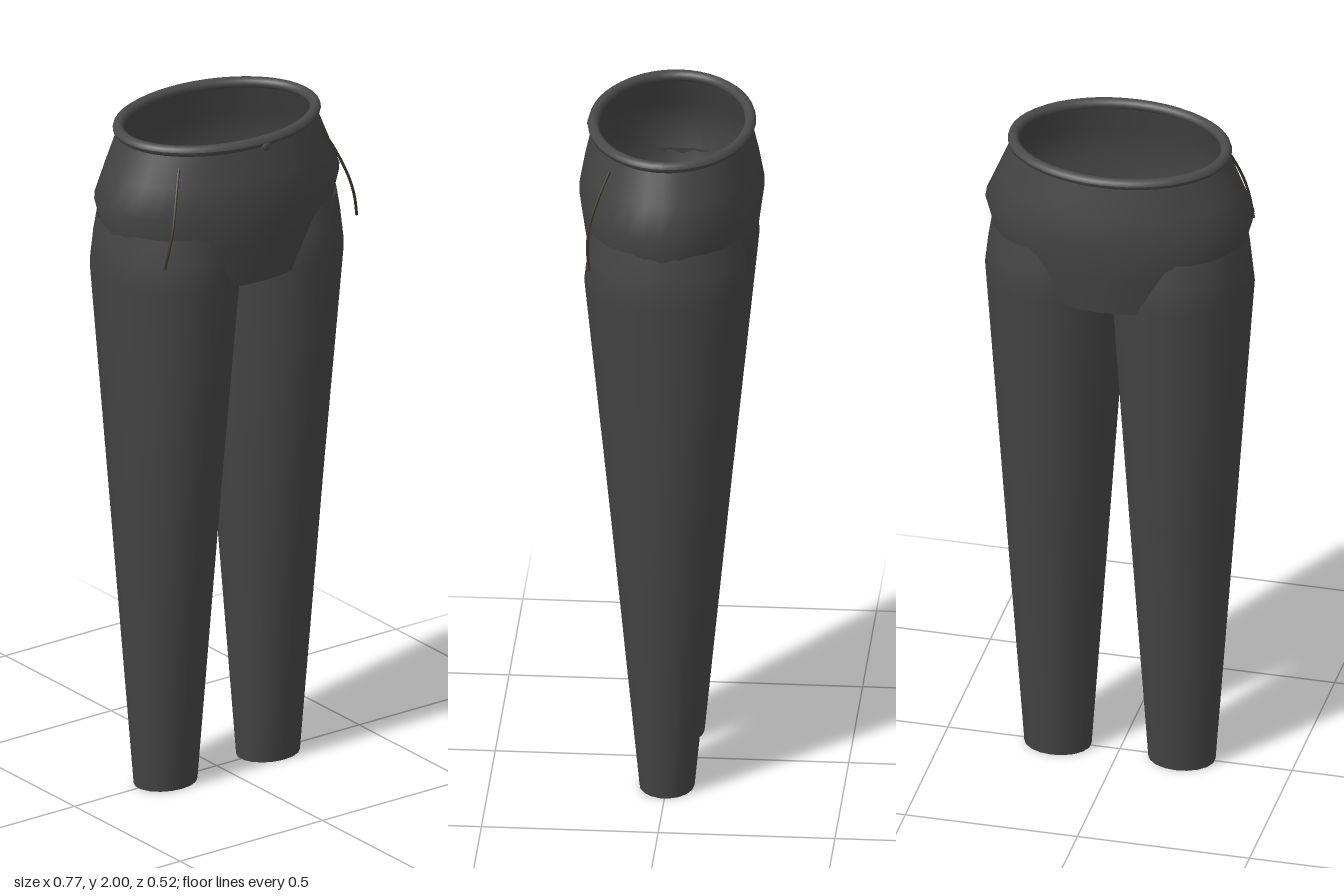
import * as THREE from 'three';

// Open tube lofted through elliptical sections [y, centreX, radiusX, radiusZ]
function loft(sections, sides) {
  const pos = [], index = [];
  for (const [y, cx, rx, rz] of sections) {
    for (let i = 0; i < sides; i++) {
      const a = (i / sides) * Math.PI * 2;
      pos.push(cx + rx * Math.sin(a), y, rz * Math.cos(a));
    }
  }
  for (let s = 0; s < sections.length - 1; s++) {
    for (let i = 0; i < sides; i++) {
      const j = (i + 1) % sides;
      const a = s * sides + i, b = s * sides + j;
      index.push(a, b, b + sides, a, b + sides, a + sides);
    }
  }
  const g = new THREE.BufferGeometry();
  g.setAttribute('position', new THREE.Float32BufferAttribute(pos, 3));
  g.setIndex(index);
  g.computeVertexNormals();
  return g;
}

export function createModel() {
  const fabric = new THREE.MeshStandardMaterial({ color: 0x444444, side: THREE.DoubleSide });
  fabric.name = 'charcoal fabric';
  const trim = new THREE.MeshStandardMaterial({ color: 0x4a4a4a });
  trim.name = 'grey trim';
  const piping = new THREE.MeshStandardMaterial({ color: 0x3a3226 });
  piping.name = 'brown piping';

  const group = new THREE.Group();
  group.name = 'trousers';
  const add = (name, geometry, material) => {
    const mesh = new THREE.Mesh(geometry, material);
    mesh.name = name;
    group.add(mesh);
    return mesh;
  };

  // Hips, open at the waist and below
  add('hips', loft([
    [1.56, 0, 0.32, 0.228],
    [1.68, 0, 0.355, 0.246],
    [1.79, 0, 0.386, 0.261],
    [1.88, 0, 0.348, 0.245],
    [1.98, 0, 0.306, 0.222],
  ], 32), fabric);

  // Waistband roll
  const band = new THREE.TorusGeometry(1, 0.016, 10, 48);
  band.rotateX(Math.PI / 2);
  const p = band.attributes.position;
  for (let i = 0; i < p.count; i++) {
    const x = p.getX(i), z = p.getZ(i), r = Math.hypot(x, z);
    const d = r - 1;
    p.setXYZ(i, (x / r) * (0.305 + d), p.getY(i) + 1.984, (z / r) * (0.221 + d));
  }
  band.computeVertexNormals();
  add('waistband', band, trim);

  // Waist button
  const button = add('button', new THREE.SphereGeometry(0.015, 14, 10), trim);
  button.position.set(0, 1.972, 0.231);
  button.scale.z = 0.6;

  for (const [side, s] of [['left', 1], ['right', -1]]) {
    // Tapered leg, open at both ends
    add(side + 'Leg', loft([
      [0, s * 0.18, 0.096, 0.078],
      [0.8, s * 0.181, 0.151, 0.156],
      [1.57, s * 0.182, 0.203, 0.234],
      [1.66, s * 0.184, 0.191, 0.224],
      [1.73, s * 0.185, 0.179, 0.211],
    ], 18), fabric);

    // Curved pocket piping
    const path = new THREE.CatmullRomCurve3([
      [0.25, 1.94, 0.157], [0.283, 1.865, 0.188], [0.309, 1.79, 0.21],
      [0.325, 1.73, 0.214], [0.337, 1.67, 0.208],
    ].map(([x, y, z]) => new THREE.Vector3(s * x, y, z)));
    add(side + 'PocketPiping', new THREE.TubeGeometry(path, 20, 0.004, 6), piping);
  }
  return group;
}
